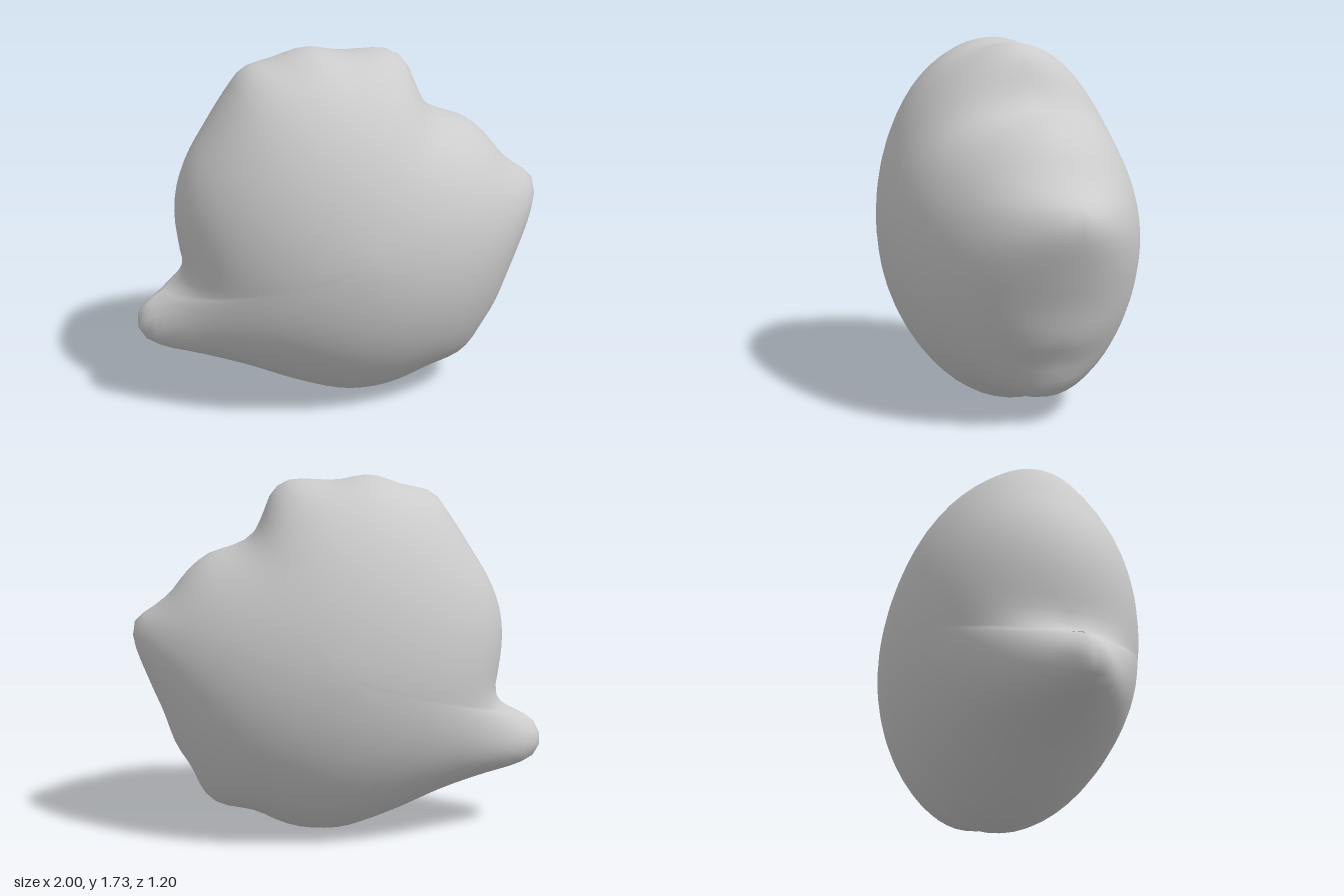
import * as THREE from 'three';

const SEGMENTS = 96;
const RINGS = 16;
const DEPTH = 0.6;
const CENTER = new THREE.Vector2(0, 0.85);

// Side contour of the body, counter-clockwise from the nose on +x
const CONTOUR = [
  [1, 0.97], [0.98, 1.05], [0.92, 1.09], [0.82, 1.17], [0.73, 1.28], [0.63, 1.36], [0.51, 1.4],
  [0.42, 1.45], [0.37, 1.54], [0.33, 1.64], [0.27, 1.7], [0.19, 1.715], [0.02, 1.71],
  [-0.15, 1.735], [-0.3, 1.69], [-0.45, 1.65], [-0.53, 1.55], [-0.64, 1.38], [-0.73, 1.23],
  [-0.78, 1.09], [-0.795, 0.95], [-0.78, 0.8], [-0.765, 0.7], [-0.79, 0.63], [-0.86, 0.585],
  [-0.95, 0.54], [-1, 0.44], [-0.97, 0.36], [-0.88, 0.31], [-0.72, 0.27], [-0.5, 0.2],
  [-0.3, 0.11], [-0.12, 0.04], [0, 0.005], [0.2, 0.01], [0.3, 0.04], [0.42, 0.1], [0.6, 0.13],
  [0.67, 0.19], [0.73, 0.32], [0.8, 0.43], [0.86, 0.6], [0.92, 0.74],
];

// Flat disc of rings shrinking from the contour to the centre
function contourDisc() {
  const curve = new THREE.CatmullRomCurve3(CONTOUR.map(([x, y]) => new THREE.Vector3(x, y, 0)), true);
  const rim = curve.getSpacedPoints(SEGMENTS).slice(0, SEGMENTS);
  const points = [CENTER.clone()];
  const start = [1];
  for (let j = 1; j <= RINGS; j++) {
    const s = Math.sin((j / RINGS) * Math.PI / 2);
    for (const p of rim) {
      points.push(new THREE.Vector2(p.x, p.y).sub(CENTER).multiplyScalar(s).add(CENTER));
      start.push(1 - s * s);
    }
  }
  const at = (j, i) => (j === 0 ? 0 : 1 + (j - 1) * SEGMENTS + (i % SEGMENTS));
  const triangles = [];
  for (let i = 0; i < SEGMENTS; i++) {
    triangles.push([0, at(1, i), at(1, i + 1)]);
    for (let j = 1; j < RINGS; j++) {
      const a = at(j, i), b = at(j + 1, i), c = at(j + 1, i + 1), d = at(j, i + 1);
      triangles.push([a, b, c], [a, c, d]);
    }
  }
  return { points, triangles, start };
}

// Inflate the disc like a membrane: wide areas swell, narrow knobs stay round
function inflate({ points, triangles, start }) {
  const links = points.map(() => new Map());
  const area = points.map(() => 0);
  for (const t of triangles) {
    for (let k = 0; k < 3; k++) {
      const a = t[k], b = t[(k + 1) % 3], c = t[(k + 2) % 3];
      const u = points[a].clone().sub(points[c]);
      const v = points[b].clone().sub(points[c]);
      const cross = Math.max(Math.abs(u.cross(v)), 1e-9);
      const w = u.dot(v) / cross / 2;
      links[a].set(b, (links[a].get(b) || 0) + w);
      links[b].set(a, (links[b].get(a) || 0) + w);
      area[a] += cross / 6;
    }
  }
  const inner = points.length - SEGMENTS;
  const rows = links.slice(0, inner).map((m) => {
    const ids = [...m.keys()], weights = [...m.values()];
    return { ids, weights, total: weights.reduce((x, y) => x + y, 0) };
  });
  const height = start.map((h, n) => (n < inner ? h : 0));
  for (let pass = 0; pass < 4000; pass++) {
    for (let n = 0; n < inner; n++) {
      const { ids, weights, total } = rows[n];
      let sum = area[n] * 5.3;
      for (let k = 0; k < ids.length; k++) sum += weights[k] * height[ids[k]];
      height[n] += 1.85 * (sum / total - height[n]);
    }
  }
  const top = Math.max(...height);
  return height.map((h) => DEPTH * Math.sqrt(Math.max(h, 0) / top));
}

// Close the front and mirrored back along a shared rim
function bodyGeometry() {
  const disc = contourDisc();
  const depth = inflate(disc);
  const count = disc.points.length;
  const inner = count - SEGMENTS;
  const position = [];
  const index = [];
  disc.points.forEach((p, n) => position.push(p.x, p.y, depth[n]));
  for (let n = 0; n < inner; n++) position.push(disc.points[n].x, disc.points[n].y, -depth[n]);
  const back = (n) => (n < inner ? n + count : n);
  for (const [a, b, c] of disc.triangles) {
    index.push(a, b, c, back(a), back(c), back(b));
  }
  const geometry = new THREE.BufferGeometry();
  geometry.setAttribute('position', new THREE.Float32BufferAttribute(position, 3));
  geometry.setIndex(index);
  geometry.computeVertexNormals();
  return geometry;
}

export function createModel() {
  const group = new THREE.Group();
  const body = new THREE.Mesh(bodyGeometry(), new THREE.MeshStandardMaterial({ color: 0xcccccc }));
  body.name = 'body';
  group.add(body);
  return group;
}
